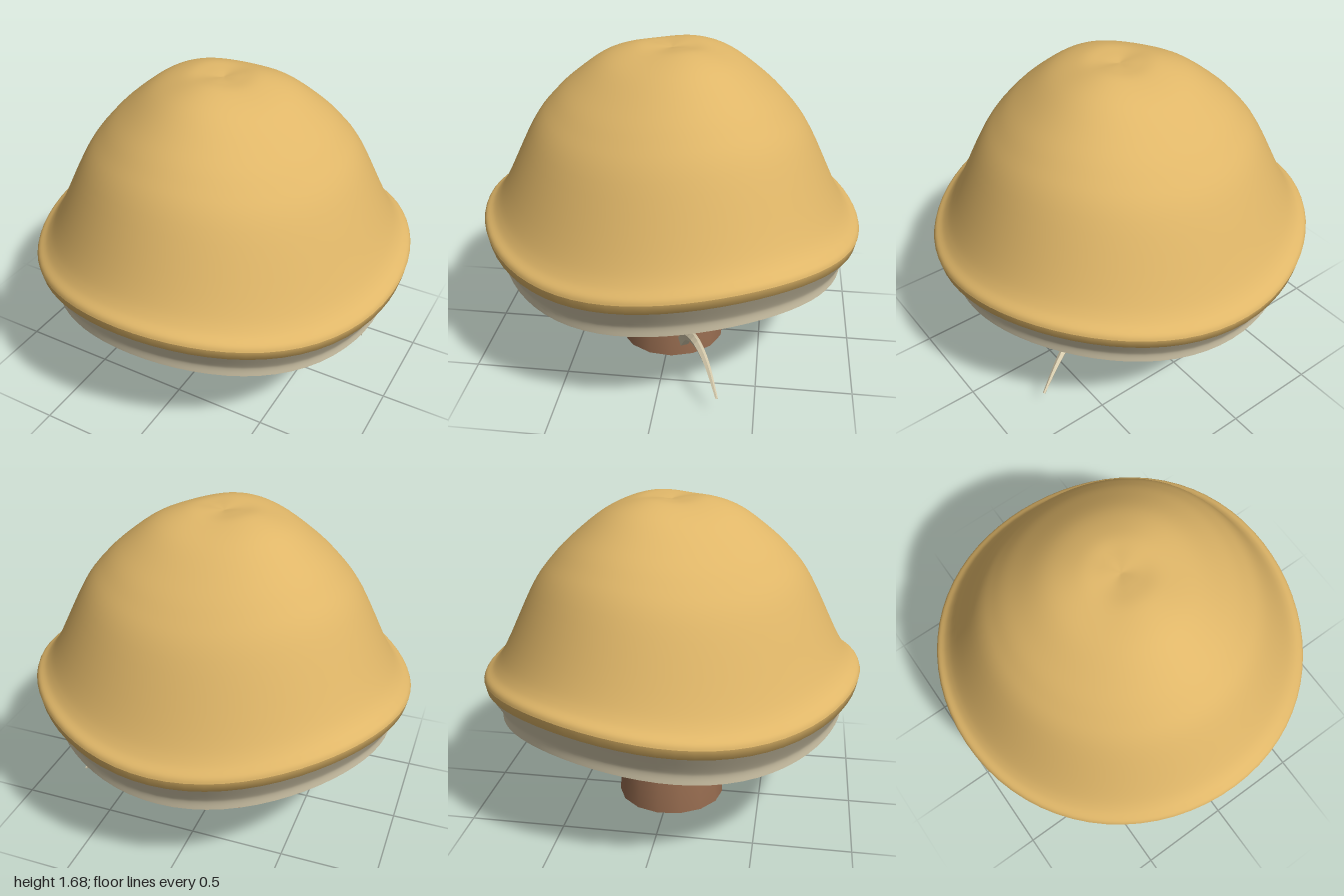
import * as THREE from 'three';
import { mergeVertices } from 'three/addons/utils/BufferGeometryUtils.js';

const mat = (name, color, side = THREE.FrontSide) => {
  const m = new THREE.MeshStandardMaterial({ color, side });
  m.name = name;
  return m;
};

// Turned shape whose height ripples in three lobes, growing with the radius
function wavyLathe(points, smooth) {
  let profile = points.map(([r, y]) => new THREE.Vector2(r, y));
  if (smooth) profile = new THREE.SplineCurve(profile).getPoints(smooth);
  profile.forEach((p) => { p.x = Math.max(p.x, 0); });
  let geo = new THREE.LatheGeometry(profile, 72);
  const pos = geo.attributes.position;
  for (let i = 0; i < pos.count; i++) {
    const x = pos.getX(i), z = pos.getZ(i);
    pos.setY(i, pos.getY(i) + 0.036 * Math.hypot(x, z) * Math.cos(3 * Math.atan2(x, z)));
  }
  geo.deleteAttribute('uv');
  geo.deleteAttribute('normal');
  geo = mergeVertices(geo, 1e-5); // closes the seam for smooth shading
  geo.computeVertexNormals();
  return geo;
}

// Tapered tube with few sides along a curve
function taperedTube(curve, steps, sides, r0, r1) {
  const geo = new THREE.TubeGeometry(curve, steps, 1, sides);
  const pos = geo.attributes.position, c = new THREE.Vector3(), v = new THREE.Vector3();
  for (let i = 0; i < pos.count; i++) {
    const t = Math.floor(i / (sides + 1)) / steps;
    curve.getPointAt(t, c);
    v.fromBufferAttribute(pos, i).sub(c).multiplyScalar(r0 + (r1 - r0) * t).add(c);
    pos.setXYZ(i, v.x, v.y, v.z);
  }
  const flat = geo.toNonIndexed();
  flat.computeVertexNormals();
  return flat;
}

export function createModel() {
  const group = new THREE.Group();
  const tan = mat('capTan', 0xdfb668);
  const cream = mat('gillCream', 0xd5caac, THREE.DoubleSide);
  const brown = mat('stemBrown', 0x946a4e);
  const add = (name, geo, material) => {
    const mesh = new THREE.Mesh(geo, material);
    mesh.name = name;
    group.add(mesh);
    return mesh;
  };

  // Bell-shaped cap with a shallow dimple on top
  add('cap', wavyLathe([
    [0.998, 0.777], [0.985, 0.803], [0.935, 0.842], [0.87, 0.945], [0.72, 1.25],
    [0.61, 1.395], [0.5, 1.5], [0.35, 1.612], [0.2, 1.668], [0.09, 1.672], [0, 1.662],
  ], 48), tan);

  // Rim edge of the cap
  add('capRim', wavyLathe([[0.96, 0.722], [0.988, 0.727], [0.998, 0.777]]), tan);

  // Pale band and conical underside
  add('underBand', wavyLathe([
    [0.915, 0.557], [0.918, 0.6], [0.932, 0.636], [0.985, 0.727],
  ], 12), cream);
  add('gills', wavyLathe([[0.2, 0.322], [0.45, 0.4], [0.7, 0.483], [0.915, 0.557]]), cream);

  // Stem with a closed base
  const stemProfile = [[0.292, 0], [0.278, 0.17], [0.237, 0.345]];
  add('stem', new THREE.LatheGeometry(stemProfile.map(([r, y]) => new THREE.Vector2(r, y)), 15), brown);
  const base = add('stemBase', new THREE.CircleGeometry(0.292, 15), brown);
  base.rotation.set(Math.PI / 2, 0, Math.PI / 2);

  // Curling tendril from the side of the stem
  const path = new THREE.CatmullRomCurve3([
    [0.24, 0.075, -0.09], [0.34, 0.18, -0.13], [0.48, 0.228, -0.19],
    [0.6, 0.195, -0.25], [0.742, 0.095, -0.315],
  ].map((p) => new THREE.Vector3(...p)));
  add('tendril', taperedTube(path, 14, 5, 0.037, 0.007), cream);

  return group;
}
